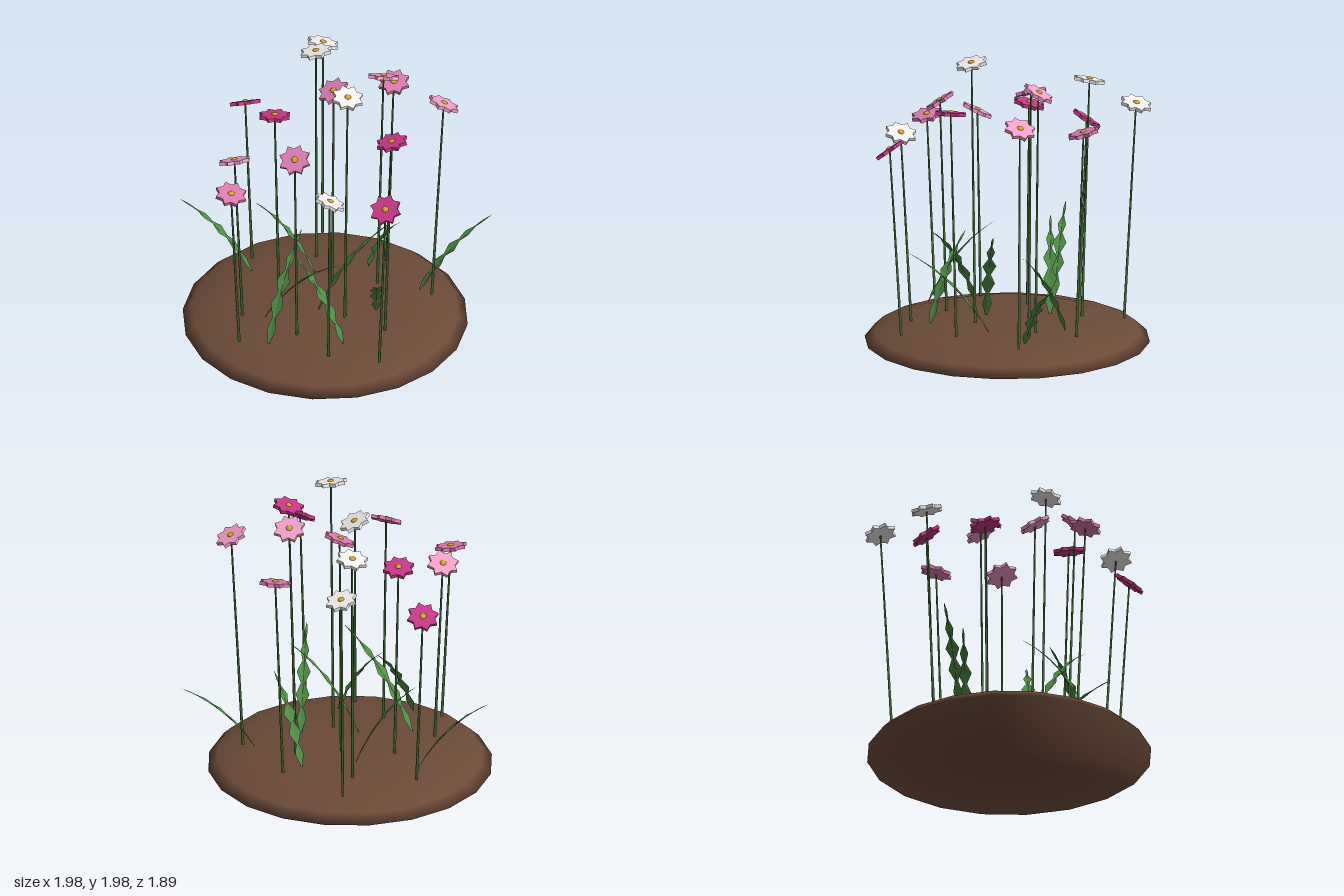
import * as THREE from 'three';

const mat = (color, extra = {}) => new THREE.MeshStandardMaterial({ color, ...extra });
const soilMat = mat(0x6b4a38);
const stemMat = mat(0x47733a);
const leafMat = mat(0x4f8f45, { side: THREE.DoubleSide, flatShading: true });
const heartMat = mat(0xd8a820);
const petalMats = {
  white: mat(0xf4f0f0, { flatShading: true }),
  pink: mat(0xf4a0c8, { flatShading: true }),
  rose: mat(0xdc7cb0, { flatShading: true }),
  magenta: mat(0xc83888, { flatShading: true }),
};

// Flower: colour, head position x y z, lean of the face in x and z
const FLOWERS = [
  ['white', -0.30, 1.61, -0.775, 0.10, -0.30],
  ['white', -0.22, 1.76, -0.475, -0.22, -0.10],
  ['magenta', -0.645, 1.355, -0.28, -0.40, -0.55],
  ['magenta', -0.315, 1.52, -0.005, -0.10, -0.24],
  ['rose', 0.04, 1.715, -0.165, -0.25, 0.35],
  ['rose', 0.27, 1.545, -0.635, 0.05, 0.27],
  ['pink', 0.325, 1.80, -0.335, -0.15, -0.52],
  ['pink', 0.74, 1.67, -0.375, 0.30, -0.40],
  ['white', 0.28, 1.938, 0.16, 0.20, 0.15],
  ['magenta', 0.605, 1.68, 0.175, -0.22, 0.02],
  ['pink', -0.425, 1.395, 0.41, -0.35, -0.38],
  ['rose', 0.04, 1.58, 0.485, 0.08, 0.66],
  ['rose', -0.315, 1.36, 0.725, 0.20, 0.14],
  ['white', 0.355, 1.425, 0.635, 0.32, -0.32],
  ['magenta', 0.725, 1.42, 0.56, 0.03, 0.75],
];

// Leaf: base x z, tip x y z
const LEAVES = [
  [-0.52, -0.10, -0.99, 0.67, 0.01],
  [-0.12, -0.235, -0.49, 0.72, -0.085],
  [0.165, -0.46, 0.47, 0.70, -0.28],
  [0.58, -0.345, 0.955, 0.635, -0.685],
  [0.41, -0.015, 0.63, 0.70, 0.48],
  [0.06, 0.145, 0.475, 0.82, -0.075],
  [-0.09, 0.62, -0.06, 0.77, 0.13],
  [-0.23, 0.345, 0.33, 0.77, 0.43],
  [0.36, 0.42, -0.03, 0.69, 0.33],
];

// Eight-pointed blossom disc lying flat, centred on its origin
function blossomGeometry() {
  const shape = new THREE.Shape();
  for (let i = 0; i < 16; i++) {
    const a = (i / 16) * Math.PI * 2;
    const r = i % 2 ? 0.079 : 0.108;
    if (i) shape.lineTo(r * Math.cos(a), r * Math.sin(a));
    else shape.moveTo(r, 0);
  }
  shape.closePath();
  const geo = new THREE.ExtrudeGeometry(shape, { depth: 0.024, bevelEnabled: false });
  return geo.translate(0, 0, -0.012).rotateX(-Math.PI / 2);
}

const UP = new THREE.Vector3(0, 1, 0);
const blossomGeo = blossomGeometry();
const heartGeo = new THREE.SphereGeometry(0.022, 10, 4, 0, Math.PI * 2, 0, Math.PI / 2).scale(1, 0.6, 1);

function makeFlower([color, x, y, z, leanX, leanZ]) {
  const flower = new THREE.Group();
  flower.name = 'flower';

  // Straight, slightly splayed stem
  const base = new THREE.Vector3(x * 0.905, 0.135, z * 0.905);
  const top = new THREE.Vector3(x, y, z);
  const dir = top.clone().sub(base);
  const stem = new THREE.Mesh(new THREE.CylinderGeometry(0.006, 0.0095, dir.length(), 6), stemMat);
  stem.name = 'stem';
  stem.position.copy(base).add(top).multiplyScalar(0.5);
  stem.quaternion.setFromUnitVectors(UP, dir.normalize());

  // Tilted head with a domed heart
  const head = new THREE.Group();
  head.name = 'flowerHead';
  head.position.copy(top);
  head.quaternion.setFromUnitVectors(UP, new THREE.Vector3(leanX, 1, leanZ).normalize());
  const petals = new THREE.Mesh(blossomGeo, petalMats[color]);
  petals.name = 'petals';
  const heart = new THREE.Mesh(heartGeo, heartMat);
  heart.name = 'flowerHeart';
  heart.position.y = 0.011;
  head.add(petals, heart);

  flower.add(stem, head);
  return flower;
}

// Arching creased ribbon whose width swells and pinches along its length
function makeLeaf([bx, bz, tx, ty, tz]) {
  const base = new THREE.Vector3(bx, 0.15, bz);
  const tip = new THREE.Vector3(tx, ty, tz);
  const bend = base.clone().lerp(tip, 0.38);
  bend.y = base.y + (ty - base.y) * 0.68;
  const curve = new THREE.QuadraticBezierCurve3(base, bend, tip);
  const side = new THREE.Vector3(tz - bz, 0, bx - tx).normalize();
  const SEGS = 10;
  const pos = [];
  const index = [];
  for (let i = 0; i <= SEGS; i++) {
    const t = i / SEGS;
    const p = curve.getPoint(t);
    const taper = Math.min(1, 0.5 + t * 1.6) * Math.min(1, (1 - t) * 2);
    const w = (i % 2 ? 0.046 : 0.014) * taper;
    for (const s of [-1, 0, 1]) {
      const crease = s === 0 ? 0.012 * taper : 0;
      pos.push(p.x + side.x * w * s, p.y - crease, p.z + side.z * w * s);
    }
    if (i === SEGS) continue;
    for (const a of [i * 3, i * 3 + 1]) index.push(a, a + 1, a + 3, a + 1, a + 4, a + 3);
  }
  const geo = new THREE.BufferGeometry();
  geo.setAttribute('position', new THREE.Float32BufferAttribute(pos, 3));
  geo.setIndex(index);
  geo.computeVertexNormals();
  const leaf = new THREE.Mesh(geo, leafMat);
  leaf.name = 'leaf';
  return leaf;
}

// Low closed mound of soil, shaded softly around its rim
function makeMound() {
  const profile = [[0, 0], [0.944, 0], [0.88, 0.06], [0.62, 0.13], [0.3, 0.152], [0, 0.16]];
  const geo = new THREE.LatheGeometry(profile.map(([r, y]) => new THREE.Vector2(r, y)), 20);
  const { position, normal } = geo.attributes;
  for (let i = 1; i < position.count; i += profile.length) {
    const n = new THREE.Vector3().fromBufferAttribute(position, i).setLength(0.93);
    normal.setXYZ(i, n.x, -0.37, n.z);
  }
  const mound = new THREE.Mesh(geo, soilMat);
  mound.name = 'soilMound';
  mound.position.x = 0.05;
  return mound;
}

export function createModel() {
  const model = new THREE.Group();
  model.name = 'flowerPatch';
  model.add(makeMound());
  FLOWERS.forEach((f) => model.add(makeFlower(f)));
  LEAVES.forEach((l) => model.add(makeLeaf(l)));
  return model;
}
